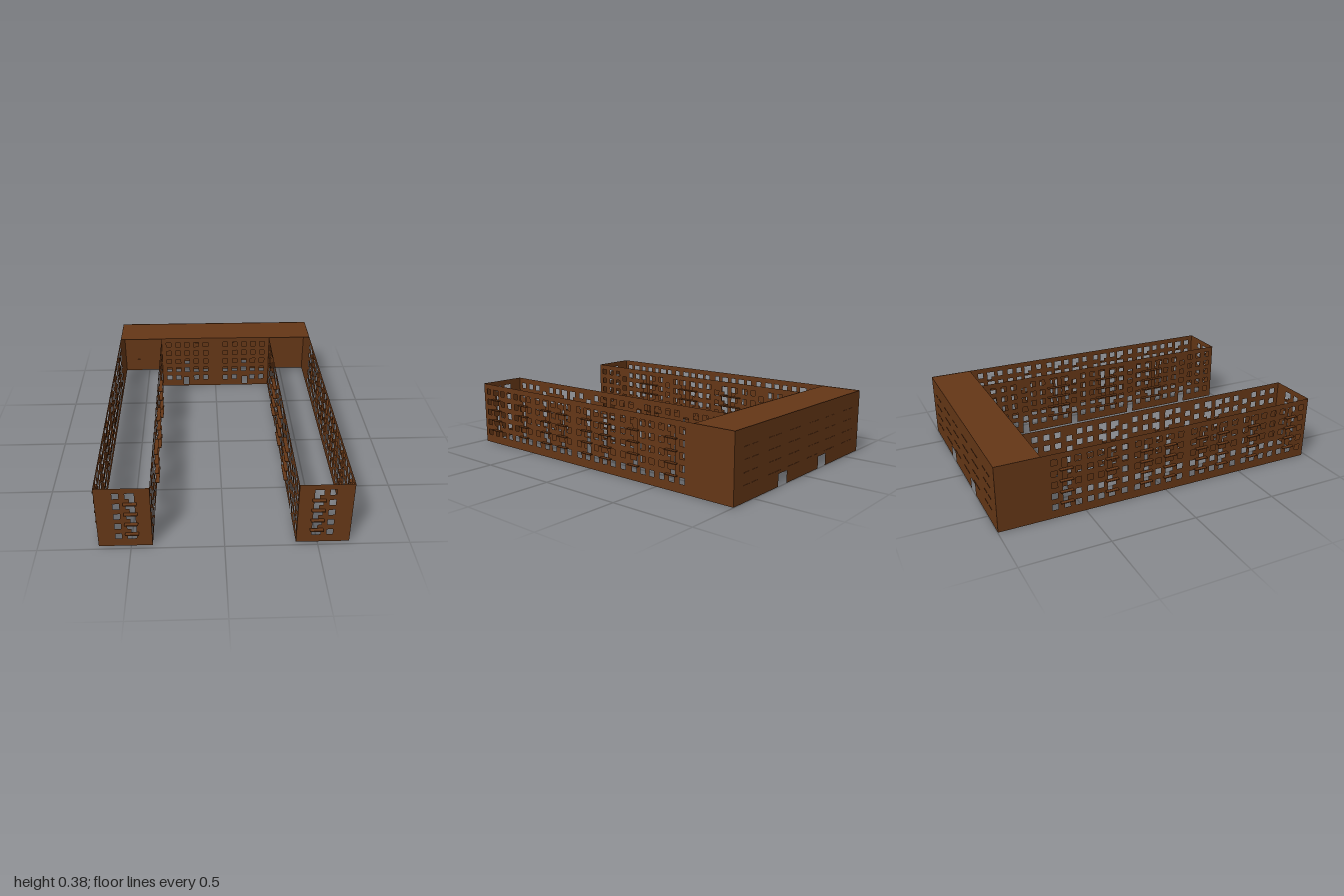
import * as THREE from 'three';

const H = 0.385, OUT = 0.674, IN = 0.385, FRONT = 0.976, MID = -0.745, BACK = -0.998;
const ROWS = [0.067, 0.134, 0.201, 0.268, 0.335];
const SLABS = [0.09, 0.156, 0.223, 0.29];
const STAIRS = [0.101, 0.168, 0.235, 0.302];
const WIN = 0.034;

const mat = new THREE.MeshStandardMaterial({ color: 0x643616, side: THREE.DoubleSide });

const poly = (pts) => pts.map(([x, y]) => new THREE.Vector2(x, y));
const rect = (x, y, w, h) => poly([
  [x - w / 2, y - h / 2], [x + w / 2, y - h / 2], [x + w / 2, y + h / 2], [x - w / 2, y + h / 2]]);

// Window with a balcony door beside it, as one L-shaped opening
function balconyOpening(x, y, dir) {
  const t = y + WIN / 2, b = y - WIN / 2, d = y - 0.04;
  return poly([[x + dir * 0.024, t], [x - dir * 0.024, t], [x - dir * 0.024, d],
    [x + dir * 0.003, d], [x + dir * 0.003, b], [x + dir * 0.024, b]]);
}

// Flat wall from a to b, with notches for doors at ground level
function wall(name, a, b, holes, doors = []) {
  const pts = [[a, 0]];
  for (const [c, w, h] of [...doors].sort((p, q) => p[0] - q[0])) {
    pts.push([c - w / 2, 0], [c - w / 2, h], [c + w / 2, h], [c + w / 2, 0]);
  }
  pts.push([b, 0], [b, H], [a, H]);
  const shape = new THREE.Shape(poly(pts));
  shape.holes = holes.map((p) => new THREE.Path(p));
  const m = new THREE.Mesh(new THREE.ShapeGeometry(shape), mat);
  m.name = name;
  return m;
}

function sideWall(name, x, holes, doors, from) {
  const m = wall(name, from, FRONT, holes, doors);
  m.rotation.y = -Math.PI / 2; // runs along z
  m.position.x = x;
  return m;
}

function box(name, w, h, d, x, y, z) {
  const m = new THREE.Mesh(new THREE.BoxGeometry(w, h, d), mat);
  m.name = name;
  m.position.set(x, y, z);
  return m;
}

// Columns of windows along a wing
const COLS = [0.93, 0.858, 0.79, 0.723, 0.656, 0.59, 0.528, 0.45, 0.37, 0.305, 0.236, 0.172,
  0.086, 0.016, -0.054, -0.12, -0.185, -0.263, -0.343, -0.407, -0.47, -0.54, -0.606, -0.676];
const OUTER_BALCONIES = [-0.61, -0.345, -0.135, 0.015, 0.222, 0.365, 0.578, 0.848];
const INNER_BALCONIES = [-0.235, 0.118, 0.472];
const ENTRANCES = [0.723, 0.305, -0.12, -0.47];

function columnHoles(c, balcony, dir = 1) {
  return ROWS.map((y, i) => (balcony && i > 0 ? balconyOpening(c, y, dir) : rect(c, y, WIN, WIN)));
}

function wing(s) {
  const g = new THREE.Group();
  g.name = s > 0 ? 'leftWing' : 'rightWing';

  // Outer long wall
  const outer = COLS.flatMap((c) =>
    columnHoles(c, OUTER_BALCONIES.some((b) => Math.abs(b - c) < 0.03)));
  g.add(sideWall('outerWall', s * OUT, outer, [], BACK));

  // Courtyard wall with stair windows above each entrance
  const inner = COLS.flatMap((c) => {
    if (ENTRANCES.includes(c)) return STAIRS.map((y) => rect(c, y, WIN, WIN));
    const near = INNER_BALCONIES.find((b) => Math.abs(b - c) < 0.07);
    return columnHoles(c, near !== undefined, Math.sign(c - near));
  });
  g.add(sideWall('courtyardWall', s * IN, inner, ENTRANCES.map((c) => [c, 0.04, 0.072]), MID));

  // End wall
  const end = [...columnHoles(s * 0.563, false), ...ROWS.flatMap((y, i) =>
    [i ? balconyOpening(s * 0.49, y, s) : rect(s * 0.49, y, 0.048, WIN)])];
  const a = Math.min(s * IN, s * OUT), b = Math.max(s * IN, s * OUT);
  const endWall = wall('endWall', a, b, end);
  endWall.position.z = FRONT;
  g.add(endWall);

  // Balcony slabs
  for (const y of SLABS) {
    for (const z of OUTER_BALCONIES) g.add(box('outerBalcony', 0.022, 0.005, 0.075, s * (OUT + 0.011), y, z));
    for (const z of INNER_BALCONIES) g.add(box('courtyardBalcony', 0.022, 0.005, 0.153, s * (IN - 0.011), y, z));
    g.add(box('endBalcony', 0.072, 0.005, 0.023, s * 0.49, y, FRONT + 0.0115));
  }
  return g;
}

function backBlock() {
  const g = new THREE.Group();
  g.name = 'backBlock';

  // Courtyard face with two doors
  const holes = [];
  for (const s of [-1, 1]) {
    for (const x of [0.071, 0.14, 0.206, 0.27, 0.336]) {
      ROWS.forEach((y, i) => {
        if (i || x !== 0.206) holes.push(rect(s * x, y, WIN, WIN));
      });
    }
    holes.push(rect(s * 0.215, 0.041, 0.039, 0.062));
  }
  const face = wall('courtyardFace', -IN, IN, holes);
  face.position.z = MID;
  g.add(face);

  // Rear wall with two wide passages and shallow ledges
  const rear = wall('rearWall', -OUT, OUT, [], [-0.217, 0.217].map((x) => [x, 0.086, 0.072]));
  rear.position.z = BACK;
  g.add(rear);
  for (const y of SLABS) {
    for (const s of [-1, 1]) {
      for (const x of [0.07, 0.14, 0.27, 0.336, 0.49, 0.563]) {
        g.add(box('rearLedge', 0.05, 0.004, 0.003, s * x, y, BACK - 0.0005));
      }
    }
  }

  // Flat roof
  g.add(box('roof', OUT * 2, 0.004, MID - BACK, 0, H - 0.004, (MID + BACK) / 2));
  return g;
}

export function createModel() {
  const model = new THREE.Group();
  model.name = 'courtyardBuilding';
  model.add(wing(1), wing(-1), backBlock());
  return model;
}
